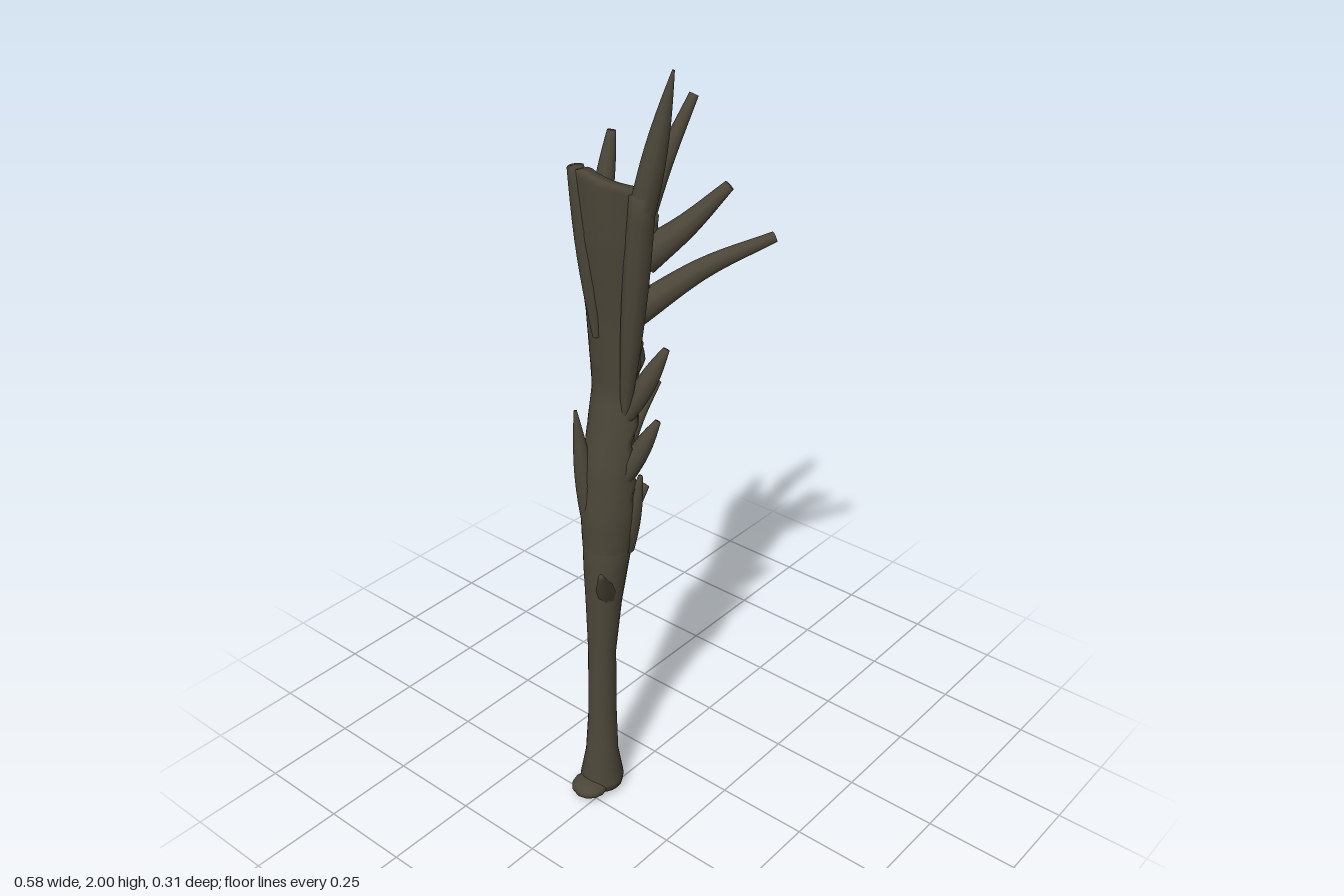
import * as THREE from 'three';

const V = (x, y, z) => new THREE.Vector3(x, y, z);
const CZ = -0.03; // depth of the trunk axis

const mat = (name, color) => {
  const m = new THREE.MeshStandardMaterial({ color, side: THREE.DoubleSide });
  m.name = name;
  return m;
};

// Skin closed rings of points; pick(row, column) returns a material index.
function skin(rings, extra = [], pick = () => 0) {
  const n = rings[0].length, faces = [[], [], [], []];
  for (let i = 0; i < rings.length - 1; i++) {
    for (let j = 0; j < n; j++) {
      const a = i * n + j, b = i * n + (j + 1) % n, c = a + n, d = b + n;
      faces[pick(i, j)].push(a, c, b, b, c, d);
    }
  }
  faces[0].push(...extra);
  const geo = new THREE.BufferGeometry().setFromPoints(rings.flat());
  geo.setIndex(faces.flat());
  let start = 0;
  faces.forEach((f, k) => {
    if (f.length) geo.addGroup(start, f.length, k);
    start += f.length;
  });
  geo.computeVertexNormals();
  return geo;
}

// Interpolate rows by their first value.
function sample(rows, y) {
  let i = 0;
  while (i < rows.length - 2 && rows[i + 1][0] < y) i++;
  const t = THREE.MathUtils.clamp((y - rows[i][0]) / (rows[i + 1][0] - rows[i][0]), 0, 1);
  return rows[i].map((v, k) => v + (rows[i + 1][k] - v) * t);
}

// Tapered limb bowed vertically between two points, with a blunt closed tip.
function limb(from, to, r0, r1, bow = 0, swell = 0) {
  const a = V(...from), b = V(...to), mid = a.clone().lerp(b, 0.5);
  mid.y += bow;
  const curve = new THREE.CatmullRomCurve3([a, mid, b]);
  const n = 10, sides = 9, frames = curve.computeFrenetFrames(n, false), rings = [];
  for (let i = 0; i <= n + 1; i++) {
    const k = Math.min(i, n), t = k / n, c = curve.getPointAt(t);
    const r = i > n ? 0 : THREE.MathUtils.lerp(r0, r1, t) + swell * Math.sin(Math.PI * t);
    rings.push(Array.from({ length: sides }, (_, j) => {
      const q = j / sides * Math.PI * 2;
      return c.clone().addScaledVector(frames.normals[k], r * Math.cos(q))
        .addScaledVector(frames.binormals[k], -r * Math.sin(q));
    }));
  }
  return skin(rings);
}

export function createModel() {
  const group = new THREE.Group();
  const bark = mat('bark', 0x4b4638);
  const mats = [bark, mat('amber wood', 0xb5852f), mat('ochre wood', 0x7d5a22), mat('brown wood', 0x523a22)];
  const add = (name, geo, m = bark) => {
    const mesh = new THREE.Mesh(geo, m);
    mesh.name = name;
    group.add(mesh);
    return mesh;
  };

  // Solid lower stem with a flared foot: height, centre x, radius
  const stem = [[0.01, -0.19, 0], [0.012, -0.19, 0.055], [0.035, -0.19, 0.059],
    [0.12, -0.188, 0.044], [0.25, -0.183, 0.038], [0.45, -0.18, 0.037], [0.6, -0.17, 0.047],
    [0.7, -0.16, 0.057], [0.8, -0.148, 0.066], [0.86, -0.142, 0.05], [0.88, -0.142, 0]];
  add('stem', skin(stem.map(([y, cx, r]) => Array.from({ length: 20 }, (_, j) => {
    const a = j / 20 * Math.PI * 2;
    return V(cx + r * Math.cos(a), y, CZ + r * Math.sin(a));
  }))));
  const toe = add('rootKnob', new THREE.SphereGeometry(1, 12, 8));
  toe.scale.set(0.05, 0.024, 0.05);
  toe.position.set(-0.24, 0.024, CZ);

  // Hollow upper trunk of C-shaped sections: height, centre x, radius, lip angles
  const shell = [[0.77, -0.151, 0.064, 55, 35], [0.86, -0.14, 0.075, 80, 12],
    [1.0, -0.125, 0.077, 98, 0], [1.2, -0.083, 0.078, 112, -8],
    [1.4, -0.07, 0.1, 116, -10], [1.6, -0.06, 0.135, 118, -10], [1.77, -0.06, 0.145, 120, -10]];
  // Height of the broken rim by angle
  const rim = [[120, 1.73], [180, 1.77], [205, 1.75], [240, 1.68], [300, 1.67], [350, 1.58]];
  const N = 26, ROWS = 44, rings = [];
  for (let i = 0; i <= ROWS; i++) {
    const outer = [], inner = [];
    for (let j = 0; j < N; j++) {
      const u = j / (N - 1), top = sample(rim, 120 + 230 * u)[1];
      const y = THREE.MathUtils.lerp(0.77, top, i / ROWS);
      const [, cx, rx, a0, a1] = sample(shell, y), rz = 0.013 + 0.8 * rx;
      const jag = 5 * Math.sin(y * 37) + 3 * Math.sin(y * 83);
      const a = THREE.MathUtils.degToRad(THREE.MathUtils.lerp(a0, a1 + 360, u) + jag);
      const w = 0.022 + 0.008 * Math.sin(Math.PI * u);
      outer.push(V(cx + rx * Math.cos(a), y, CZ + rz * Math.sin(a)));
      inner.push(V(cx + (rx - w) * Math.cos(a), y, CZ + (rz - w) * Math.sin(a)));
    }
    rings.push([...outer, ...inner.reverse()]);
  }
  const rimFaces = [], base = ROWS * 2 * N;
  for (let j = 0; j < N - 1; j++) {
    const o = base + j, k = base + 2 * N - 1 - j;
    rimFaces.push(o, k, o + 1, o + 1, k, k - 1);
  }
  // Ragged streaks of exposed wood down the inside
  const streak = (i, j) => {
    if (j < N || j >= 2 * N - 1) return 0;
    const u = (2 * N - 1.5 - j) / (N - 1), v = i / ROWS;
    const shift = 0.09 * Math.sin(Math.floor(i / 3) * 2.3) + 0.04 * Math.sin(i * 1.7);
    const d = Math.abs(u - 0.43 - shift);
    if (v > 0.95) return d < 0.15 ? 3 : 0;
    if (v < 0.86 && d < 0.17) return 1;
    if (d < 0.25) return 2;
    return d < 0.38 ? 3 : 0;
  };
  add('hollowTrunk', skin(rings, rimFaces, streak), mats);

  // Tall splinters along the lip and rim
  add('tallSplinterBase', limb([-0.135, 1.15, 0.02], [-0.137, 1.72, 0.08], 0.012, 0.031, 0, 0.008));
  add('tallSplinterTip', limb([-0.138, 1.66, 0.073], [-0.1, 2, 0.135], 0.031, 0.003, 0, 0.009));
  add('sideSplinter', limb([-0.165, 1.35, -0.04], [-0.185, 1.765, -0.075], 0.01, 0.02, 0, 0.008));
  add('backSplinter', limb([-0.05, 1.57, -0.13], [0, 1.79, -0.13], 0.024, 0.011, 0, 0.006));

  // Broken branches on the right-hand lip
  add('upperBranch', limb([0.02, 1.5, -0.09], [0.185, 1.85, -0.035], 0.037, 0.012, 0.015));
  add('upperTwig', limb([0.1, 1.67, -0.085], [0.17, 1.78, -0.06], 0.018, 0.01));
  add('middleBranch', limb([0.03, 1.48, -0.06], [0.165, 1.66, 0.09], 0.045, 0.014, -0.01));
  add('longBranch', limb([-0.01, 1.34, -0.07], [0.28, 1.51, 0.145], 0.04, 0.014, 0.02));
  add('lowBranch', limb([-0.07, 0.96, -0.06], [0.11, 1.11, -0.08], 0.028, 0.008, 0.015));
  add('rightLipSpur', limb([-0.12, 0.72, CZ], [-0.023, 0.89, -0.01], 0.03, 0.01, 0.03, 0.006));
  add('rightLipSplinter', limb([-0.04, 1.05, -0.05], [-0.005, 1.24, -0.05], 0.018, 0.004));

  // Spurs on the front lip
  add('frontLipSplinter', limb([-0.13, 0.76, 0.015], [-0.115, 0.98, 0.05], 0.02, 0.006, 0, 0.008));
  add('frontSpurLow', limb([-0.14, 0.98, 0.02], [-0.085, 1.13, 0.08], 0.025, 0.008, 0, 0.008));
  add('frontSpurHigh', limb([-0.13, 1.14, 0.02], [-0.06, 1.315, 0.085], 0.018, 0.009, 0, 0.012));

  // Thorns on the left of the stem
  add('leftSpike', limb([-0.185, 0.8, -0.05], [-0.198, 1.15, -0.085], 0.02, 0.004, 0, 0.012));
  add('leftThorn', limb([-0.18, 0.64, -0.01], [-0.25, 0.745, 0.035], 0.03, 0.007, -0.005));

  return group;
}
